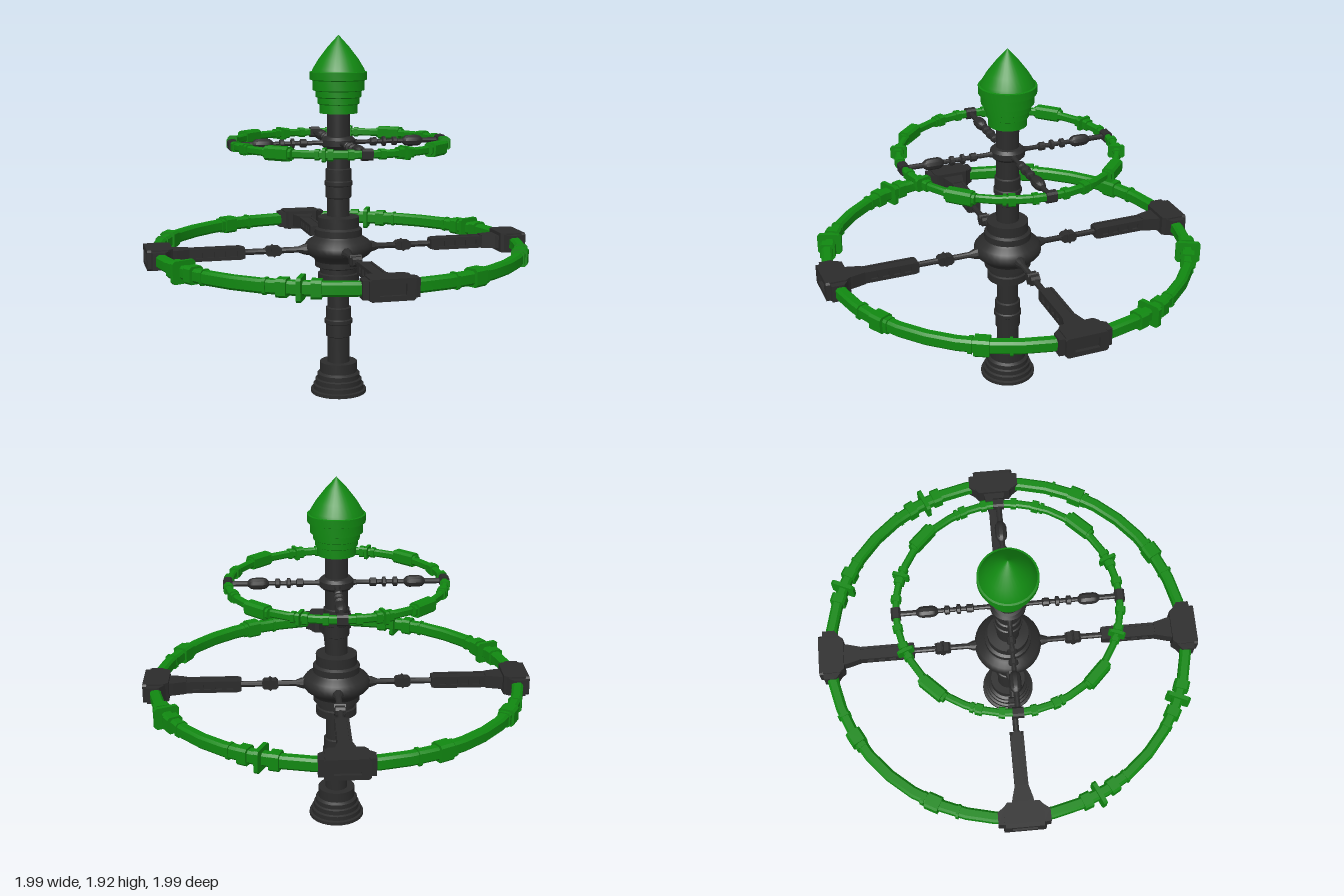
import * as THREE from 'three';
import { toCreasedNormals } from 'three/addons/utils/BufferGeometryUtils.js';

const green = new THREE.MeshStandardMaterial({ color: 0x118811 });
const dark = new THREE.MeshStandardMaterial({ color: 0x2b2b2b });
const rad = Math.PI / 180;

function add(parent, geo, mat, name, x = 0, y = 0, z = 0) {
  const m = new THREE.Mesh(geo, mat);
  m.name = name;
  m.position.set(x, y, z);
  parent.add(m);
  return m;
}

// Turned part from [radius, height] pairs, listed bottom to top
function turned(points, segments = 32, crease = 0.5) {
  const pts = points.map(([r, y]) => new THREE.Vector2(r, y));
  return toCreasedNormals(new THREE.LatheGeometry(pts, segments), crease);
}

function poly(points) {
  return new THREE.Shape(points.map(([x, y]) => new THREE.Vector2(x, y)));
}

// Chamfered rectangle outline, width w and height h
function chamfered(w, h, c) {
  const a = w / 2, b = h / 2;
  return [[a, c - b], [a, b - c], [a - c, b], [c - a, b], [-a, b - c], [-a, c - b], [c - a, -b], [a - c, -b]];
}

// Chamfered bar of the given length along z, centred
function bar(w, h, length, c = 0.012) {
  return new THREE.ExtrudeGeometry(poly(chamfered(w, h, c)), { depth: length, bevelEnabled: false }).translate(0, 0, -length / 2);
}

// Plate with rectangular windows [cx, cy, w, h], thickness along z
function windowPlate(outline, windows, depth) {
  const s = poly(outline);
  for (const [cx, cy, w, h] of windows) {
    s.holes.push(new THREE.Path([[-1, -1], [-1, 1], [1, 1], [1, -1]].map(([i, j]) => new THREE.Vector2(cx + i * w / 2, cy + j * h / 2))));
  }
  return new THREE.ExtrudeGeometry(s, { depth, bevelEnabled: false });
}

// Group turned about y so that its local +x points outward at the given angle
function spokeFrame(parent, name, degrees, y) {
  const g = new THREE.Group();
  g.name = name;
  g.position.y = y;
  g.rotation.y = -degrees * rad;
  parent.add(g);
  return g;
}

// Faceted hoop with a chamfered section
function hoop(radius, w, h, c, segments) {
  const section = chamfered(w, h, c).map(([x, y]) => [radius + x, y]);
  section.push(section[0]);
  return turned(section, segments, 0.3);
}

// Rod along x with a round section, from [radius, distance] pairs
function rod(points, segments = 10) {
  return turned(points, segments).rotateZ(-Math.PI / 2);
}

export function createModel() {
  const model = new THREE.Group();
  model.name = 'ringedTower';

  // Central column with stepped base and collars
  add(model, turned([
    [0, 0], [0.15, 0], [0.15, 0.018], [0.137, 0.022], [0.137, 0.045], [0.125, 0.05], [0.125, 0.075],
    [0.115, 0.08], [0.115, 0.105], [0.1, 0.115], [0.1, 0.17], [0.06, 0.17], [0.06, 0.31],
    [0.068, 0.315], [0.068, 0.38], [0.075, 0.385], [0.075, 0.405], [0.068, 0.41], [0.068, 0.47],
    [0.058, 0.475], [0.058, 0.615], [0.11, 0.62], [0.11, 0.66], [0.1, 0.665], [0.1, 0.69],
    [0.125, 0.7], [0.125, 0.9], [0.11, 0.91], [0.11, 0.965], [0.06, 0.97], [0.06, 1.065],
    [0.068, 1.07], [0.068, 1.13], [0.075, 1.135], [0.075, 1.155], [0.068, 1.16], [0.068, 1.22],
    [0.06, 1.225], [0.06, 1.54]]), dark, 'column');

  // Rounded hub discs
  add(model, turned([[0.12, 0.72], [0.135, 0.745], [0.165, 0.765], [0.18, 0.785], [0.18, 0.815],
    [0.165, 0.835], [0.135, 0.855], [0.12, 0.87]], 32, 0.9), dark, 'lowerHub');
  add(model, turned([[0.055, 1.325], [0.075, 1.33], [0.09, 1.345], [0.09, 1.375], [0.075, 1.39], [0.055, 1.395]]),
    dark, 'upperHub');

  // Stepped, pointed cap
  add(model, turned([
    [0, 1.515], [0.1, 1.515], [0.1, 1.56], [0.11, 1.565], [0.11, 1.595], [0.12, 1.6], [0.12, 1.63],
    [0.136, 1.635], [0.136, 1.66], [0.136, 1.685], [0.15, 1.69], [0.15, 1.73], [0.14, 1.732],
    [0.135, 1.745], [0.105, 1.795], [0.055, 1.86], [0, 1.92]]), green, 'cap');

  // Large ring
  const lowY = 0.795, lowR = 0.964;
  add(model, hoop(lowR, 0.058, 0.068, 0.012, 40), green, 'largeRing', 0, lowY);

  // Collars on the large ring: [angle from axis, radial width, height, length]
  const frontSet = [[10.5, 0.066, 0.078, 0.015], [15.5, 0.082, 0.088, 0.05],
    [20.6, 0.13, 0.115, 0.022], [25, 0.082, 0.088, 0.05]];
  const sideSet = [[13, 0.068, 0.078, 0.02], [16.3, 0.084, 0.09, 0.075], [24.5, 0.07, 0.08, 0.015]];
  for (let q = 0; q < 4; q++) {
    for (const s of [-1, 1]) {
      for (const [a, w, h, len] of q % 2 ? frontSet : sideSet) {
        const g = spokeFrame(model, 'largeRingCollar', q * 90 + s * a, lowY);
        add(g, bar(w, h, len), green, 'collar', lowR);
      }
    }
  }

  // Lower spokes with windowed paddles and ring clamps
  for (let i = 0; i < 4; i++) {
    const g = spokeFrame(model, 'lowerSpoke', 45 + 90 * i, lowY);
    add(g, rod([[0.035, 0.15], [0.028, 0.19], [0.016, 0.22], [0.016, 0.53]]), dark, 'rod');
    add(g, bar(0.085, 0.05, 0.05), dark, 'rodCollar', 0.355);
    add(g, bar(0.025, 0.062, 0.062), dark, 'rodCollarBand', 0.355);
    add(g, new THREE.BoxGeometry(0.34, 0.056, 0.044), dark, 'paddleCore', 0.68);
    const windows = [0.57, 0.63, 0.69, 0.75].map((x) => [x, 0, 0.036, 0.03]);
    const side = [[0.51, -0.026], [0.53, -0.032], [0.85, -0.032], [0.85, 0.032], [0.53, 0.032], [0.51, 0.026]];
    for (const z of [0.022, -0.036]) add(g, windowPlate(side, windows, 0.014), dark, 'paddleSide', 0, 0, z);

    // Flared neck and clamp body drawn in plan
    const plan = (pts, h) => new THREE.ExtrudeGeometry(
      poly([...pts, ...pts.map(([x, z]) => [x, -z]).reverse()]), { depth: h, bevelEnabled: false })
      .translate(0, 0, -h / 2).rotateX(-Math.PI / 2);
    add(g, plan([[0.93, -0.065], [0.87, -0.055], [0.8, -0.036]].reverse(), 0.07), dark, 'neck');
    add(g, plan([[0.9, -0.09], [0.935, -0.137], [1.0, -0.137], [1.004, -0.1]], 0.09), dark, 'clampBody');
    add(g, plan([[0.89, -0.085], [0.915, -0.105], [1.004, -0.105]], 0.105), dark, 'clampCore');
    const frame = windowPlate(chamfered(0.22, 0.105, 0.01), [[0, 0, 0.13, 0.055]], 0.022).rotateY(Math.PI / 2);
    add(g, frame, dark, 'clampFrame', 1.002);
  }

  // Small ring
  const topY = 1.36, topR = 0.562;
  add(model, hoop(topR, 0.034, 0.04, 0.008, 40), green, 'smallRing', 0, topY);
  for (let q = 0; q < 4; q++) {
    const block = spokeFrame(model, 'smallRingBlock', q * 90, topY);
    add(block, bar(0.064, 0.07, 0.13), green, 'block', topR + 0.008);
    add(block, bar(0.05, 0.052, 0.16), green, 'blockCore', topR + 0.005);

    // Flange groups on two opposite quarters, plain collars on the others
    const set = q % 2 === 0
      ? [[20.5, 0.046, 0.052, 0.022], [24, 0.085, 0.066, 0.016], [27, 0.05, 0.056, 0.028], [37, 0.05, 0.05, 0.03]]
      : [[22, 0.046, 0.052, 0.018], [25.5, 0.05, 0.058, 0.035], [37, 0.05, 0.05, 0.03]];
    for (const [a, w, h, len] of set) {
      for (const angle of [a, 90 - a]) {
        const g = spokeFrame(model, 'smallRingCollar', q * 90 + angle, topY);
        add(g, bar(w, h, len, 0.008), green, 'collar', topR);
      }
    }
  }

  // Upper spokes with bobbins and end blocks
  for (let i = 0; i < 4; i++) {
    const g = spokeFrame(model, 'upperSpoke', 45 + 90 * i, topY);
    add(g, rod([[0.02, 0.07], [0.012, 0.11], [0.012, 0.17], [0.022, 0.175], [0.022, 0.205], [0.012, 0.21],
      [0.012, 0.235], [0.026, 0.24], [0.026, 0.255], [0.012, 0.26], [0.012, 0.29], [0.024, 0.295],
      [0.024, 0.315], [0.012, 0.32], [0.012, 0.35], [0.026, 0.365], [0.03, 0.38], [0.03, 0.43],
      [0.026, 0.445], [0.014, 0.46], [0.014, 0.55]]), dark, 'rod');
    add(g, bar(0.048, 0.056, 0.055, 0.01), dark, 'endBlock', topR);
  }
  return model;
}
